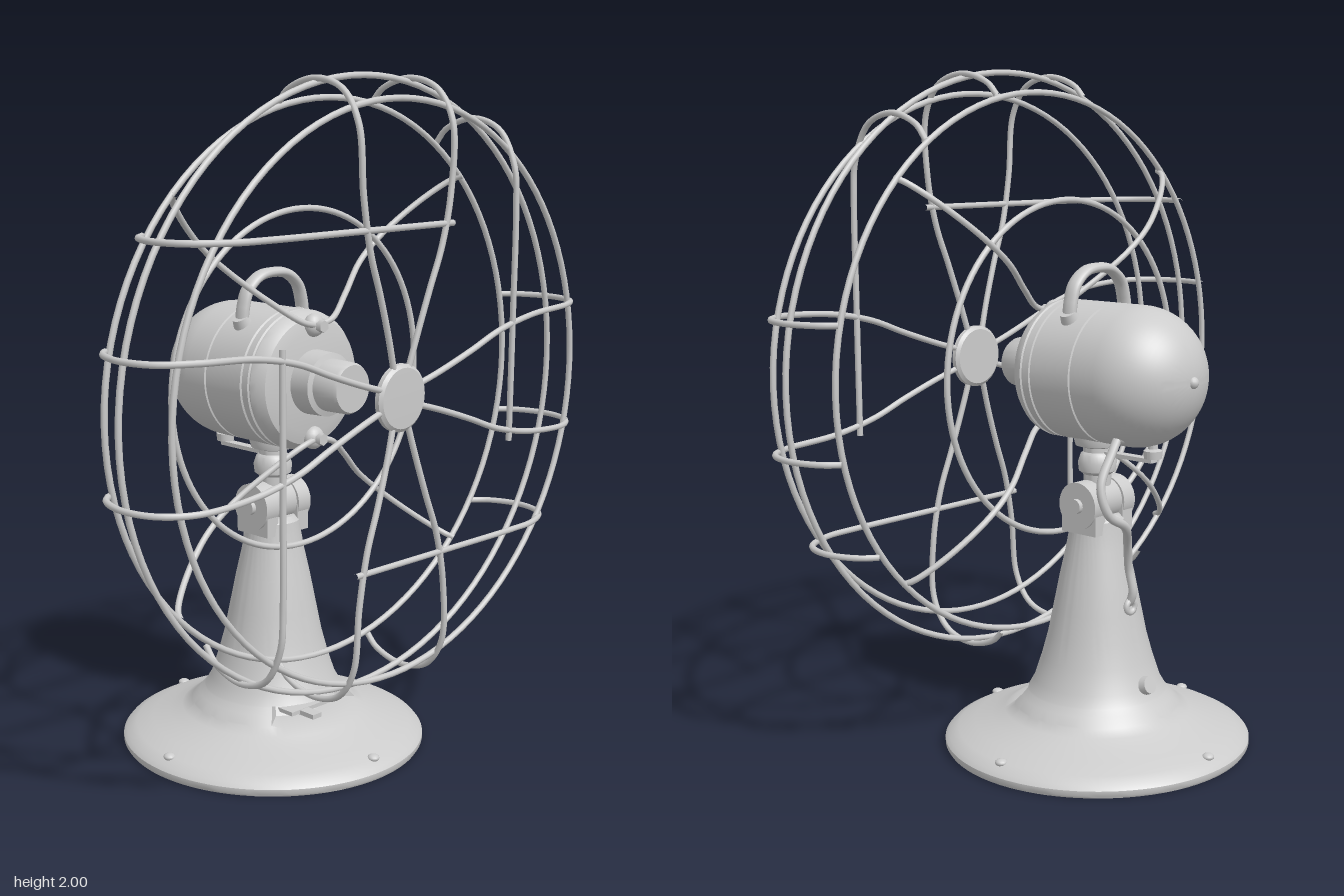
import * as THREE from 'three';
import { toCreasedNormals } from 'three/addons/utils/BufferGeometryUtils.js';

const AXIS_Y = 1.13; // height of the motor axis
const BASE_Z = -0.035; // centre of the stand
const WIRE = 0.009;
const V = (x, y, z) => new THREE.Vector3(x, y, z);

export function createModel() {
  const model = new THREE.Group();
  const material = new THREE.MeshStandardMaterial({ color: 0xcccccc });

  const add = (name, geometry, x = 0, y = 0, z = 0, parent = model) => {
    const mesh = new THREE.Mesh(geometry, material);
    mesh.name = name;
    mesh.position.set(x, y, z);
    parent.add(mesh);
    return mesh;
  };
  const lathe = (points, segments = 64) => toCreasedNormals(
    new THREE.LatheGeometry(points.map(([r, y]) => new THREE.Vector2(r, y)), segments, Math.PI), 0.6);
  const tube = (points, radius = WIRE, segments = 48, sides = 8) => new THREE.TubeGeometry(
    new THREE.CatmullRomCurve3(points, false, 'centripetal'), segments, radius, sides);
  const group = (name, y = 0) => {
    const g = new THREE.Group();
    g.name = name;
    g.position.y = y;
    model.add(g);
    return g;
  };

  // Flared stand, with a switch recess pushed into its front
  const stand = new THREE.LatheGeometry([
    [0, 0], [0.455, 0], [0.46, 0.008], [0.46, 0.022], [0.45, 0.034], [0.42, 0.05], [0.37, 0.068], [0.32, 0.086],
    [0.28, 0.104], [0.25, 0.122], [0.248, 0.126], [0.225, 0.148], [0.21, 0.166], [0.207, 0.17],
    [0.19, 0.2], [0.167, 0.27], [0.148, 0.34], [0.132, 0.42], [0.112, 0.52], [0.094, 0.6],
    [0.085, 0.65], [0.08, 0.69], [0.065, 0.705], [0, 0.708],
  ].map(([r, y]) => new THREE.Vector2(r, y)), 96, Math.PI);
  const p = stand.attributes.position;
  for (let i = 0; i < p.count; i++) {
    const y = p.getY(i);
    const angle = Math.abs(Math.atan2(p.getX(i), p.getZ(i)));
    if (y > 0.124 && y < 0.168 && angle < 0.72) {
      p.setX(i, p.getX(i) * 0.7);
      p.setZ(i, p.getZ(i) * 0.7);
    }
  }
  add('stand', toCreasedNormals(stand, 0.6), 0, 0, BASE_Z);
  add('switchLever', new THREE.BoxGeometry(0.035, 0.014, 0.1), -0.05, 0.14, 0.155);
  add('switchPlate', new THREE.BoxGeometry(0.2, 0.012, 0.06), 0, 0.142, 0.12);

  // Rivets around the foot
  for (let i = 0; i < 4; i++) {
    const a = i * Math.PI / 2;
    const rivet = add('footRivet', new THREE.SphereGeometry(0.018, 16, 8),
      Math.sin(a) * 0.42, 0.05, BASE_Z + Math.cos(a) * 0.42);
    rivet.scale.y = 0.6;
  }
  const backScrew = add('backScrew', new THREE.CylinderGeometry(0.026, 0.03, 0.04, 20), 0, 0.21, -0.222);
  backScrew.rotation.x = -1.25;

  // Tilting joint: fork ears, tongue, pin and neck
  const disc = (name, radius, width, x, y, z) => {
    add(name, new THREE.CylinderGeometry(radius, radius, width, 32), x, y, z).rotation.z = Math.PI / 2;
  };
  for (const side of [-1, 1]) {
    disc('forkEar', 0.07, 0.05, side * 0.066, 0.74, BASE_Z);
    add('forkCheek', new THREE.BoxGeometry(0.045, 0.08, 0.13), side * 0.062, 0.695, BASE_Z);
    disc('pivotScrew', 0.022, 0.016, side * 0.097, 0.74, BASE_Z);
  }
  disc('pivotTongue', 0.062, 0.08, 0, 0.745, BASE_Z);
  add('neck', lathe([[0.04, 0.76], [0.042, 0.825], [0.055, 0.835], [0.058, 0.86], [0.05, 0.885],
    [0.042, 0.892], [0.042, 0.905], [0.065, 0.912], [0.07, 0.93], [0.07, 0.97]], 32), 0, 0, BASE_Z);

  // Motor housing, turned about z with the nose towards the front
  const motor = [[0, 0.135], [0.15, 0.135], [0.185, 0.125], [0.2, 0.105], [0.205, 0.085], [0.2, 0.082],
    [0.2, 0.076], [0.205, 0.073], [0.205, 0.052], [0.2, 0.05], [0.2, 0.045], [0.205, 0.042],
    [0.205, -0.1], [0.2, -0.102], [0.2, -0.108], [0.205, -0.11]];
  for (let i = 0; i <= 16; i++) {
    const a = i / 16 * Math.PI / 2;
    motor.push([0.205 * Math.cos(a), -0.19 - 0.2 * Math.sin(a)]);
  }
  add('motorHousing', lathe(motor.reverse()), 0, AXIS_Y).rotation.x = Math.PI / 2;
  add('motorShaftHub', lathe([[0.095, 0.12], [0.092, 0.2], [0.076, 0.205], [0.074, 0.28],
    [0.068, 0.29], [0, 0.29]], 40), 0, AXIS_Y).rotation.x = Math.PI / 2;
  add('rearScrew', new THREE.SphereGeometry(0.018, 16, 8), 0, AXIS_Y, -0.385);

  // Broad carrying handle on two feet
  const handle = add('handle', tube([V(-0.125, 1.285, 0), V(-0.118, 1.34, 0), V(-0.1, 1.39, 0), V(-0.055, 1.425, 0),
    V(0, 1.433, 0), V(0.055, 1.425, 0), V(0.1, 1.39, 0), V(0.118, 1.34, 0), V(0.125, 1.285, 0)], 0.015, 40, 12),
  0, 0, -0.035);
  handle.scale.z = 1.6;
  for (const side of [-1, 1]) {
    const foot = add('handleFoot', new THREE.CylinderGeometry(0.024, 0.03, 0.03, 20), side * 0.123, 1.3, -0.035);
    foot.rotation.z = -side * 0.5;
  }

  // Oscillation knob and link below the motor
  add('knob', lathe([[0, 0.895], [0.026, 0.897], [0.028, 0.92], [0.014, 0.925], [0.014, 0.99]], 20), 0, 0, -0.245);
  add('oscillationLink', new THREE.BoxGeometry(0.03, 0.012, 0.2), 0, 0.89, -0.15);

  // Power cord from motor to column
  add('powerCord', tube([V(0.1, 0.98, -0.205), V(0.14, 0.93, -0.21), V(0.195, 0.84, -0.215), V(0.18, 0.76, -0.23),
    V(0.1, 0.71, -0.225), V(0.04, 0.64, -0.185), V(0.01, 0.56, -0.165), V(0, 0.48, -0.172),
    V(0, 0.445, -0.15), V(0, 0.44, -0.11)], 0.013, 64, 10));
  add('cordGrommet', new THREE.TorusGeometry(0.018, 0.01, 8, 20), 0, 0.44, -0.163);
  add('cordSocket', new THREE.SphereGeometry(0.024, 16, 10), 0.1, 0.97, -0.205);

  // Cage rings and front badge
  const cage = group('cage', AXIS_Y);
  const rings = [['outerRing', 0.865, 0.32], ['frontRing', 0.805, 0.45], ['rearRing', 0.805, 0.188],
    ['innerRearRing', 0.495, 0.085]];
  for (const [name, radius, z] of rings) {
    add(name, new THREE.TorusGeometry(radius, WIRE, 8, 96), 0, 0, z, cage);
  }
  add('frontBadge', lathe([[0, 0.452], [0.085, 0.452], [0.095, 0.46], [0.095, 0.474], [0.085, 0.482], [0, 0.484]], 40),
    0, 0, 0, cage).rotation.x = Math.PI / 2;

  // Wire ends wrap from the front face around the rings: [radius, z]
  const wrap = [[0.59, 0.486], [0.765, 0.477], [0.85, 0.42], [0.877, 0.32], [0.85, 0.22], [0.815, 0.183]];
  const wrapAt = (offset, from = 0) => wrap.slice(from)
    .map(([r, z]) => V(offset, Math.sqrt(r * r - offset * offset), z));

  for (let i = 0; i < 4; i++) {
    const quarter = new THREE.Group();
    quarter.name = 'cageQuarter';
    quarter.rotation.z = i * Math.PI / 2;
    cage.add(quarter);
    // Pair of curved wires springing from the badge
    for (const side of [-1, 1]) {
      const start = [V(side * 0.025, 0.06, 0.468), V(side * 0.055, 0.16, 0.474), V(side * 0.1, 0.29, 0.48),
        V(side * 0.145, 0.41, 0.484)];
      const end = wrapAt(side * 0.187);
      end[0].x = side * 0.176;
      add('curvedWire', tube([...start, ...end], WIRE, 72), 0, 0, 0, quarter);
    }
    // Straight wire crossing the quarter
    add('straightWire', tube([V(0.467, -0.19, 0.484), V(0.467, 0.2, 0.486), V(0.467, 0.5, 0.486),
      ...wrapAt(0.467, 1)], WIRE, 64), 0, 0, 0, quarter);
  }

  // Rear arms joining the cage to two lugs on the motor
  for (const up of [-1, 1]) {
    const lug = add('mountingLug', new THREE.SphereGeometry(0.034, 20, 12), 0, up * 0.165, 0.135, cage);
    lug.scale.z = 0.8;
    const nut = add('mountingNut', new THREE.CylinderGeometry(0.018, 0.018, 0.03, 6), 0, up * 0.165, 0.162, cage);
    nut.rotation.x = Math.PI / 2;
    for (const side of [-1, 1]) {
      add('cageArm', tube([V(0, up * 0.165, 0.15), V(side * 0.06, up * 0.18, 0.15), V(side * 0.15, up * 0.24, 0.115),
        V(side * 0.26, up * 0.325, 0.072), V(side * 0.36, up * 0.4, 0.07), V(side * 0.48, up * 0.495, 0.115),
        V(side * 0.555, up * 0.555, 0.17), V(side * 0.57, up * 0.568, 0.2)], WIRE, 48), 0, 0, 0, cage);
    }
  }

  return model;
}
